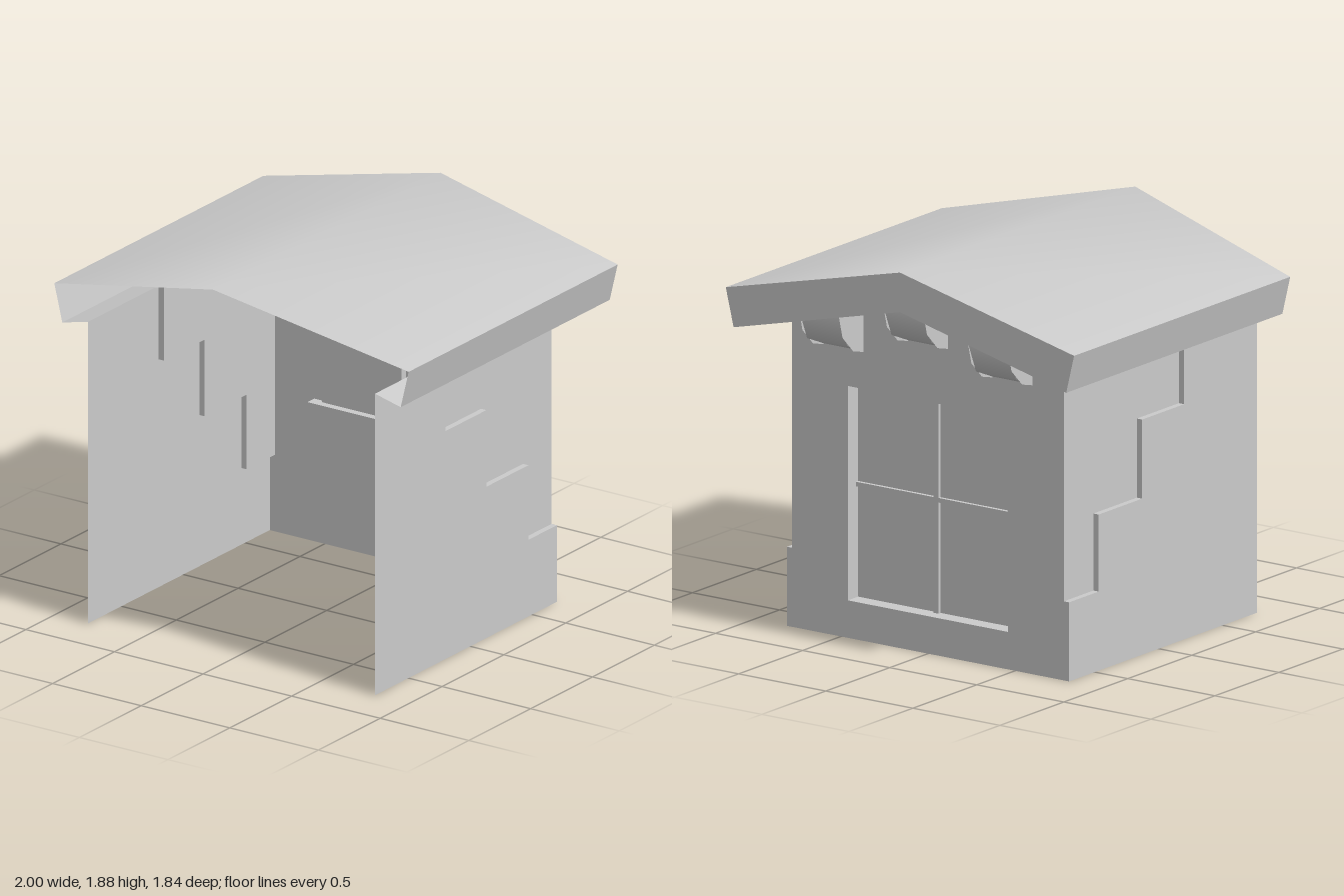
import * as THREE from 'three';

const mat = new THREE.MeshStandardMaterial({ color: 0xcccccc, side: THREE.DoubleSide });
const BACK = -0.70, FRONT = 0.77, ROOF_BACK = -0.92;
const OUT = 0.81, IN = 0.78;                     // half widths: full wall, recessed wall
const soffitY = x => 1.69 - 0.2408 * Math.abs(x);

const add = (parent, name, geo) => {
  const m = new THREE.Mesh(geo, mat);
  m.name = name;
  parent.add(m);
  return m;
};

const shapeOf = pts => new THREE.Shape(pts.map(p => new THREE.Vector2(p[0], p[1])));

// Ribbon of flat quads between two matching rows of 3D points
function ribbon(a, b, smooth = false) {
  const pos = [...a, ...b].flat(), index = [], n = a.length;
  for (let i = 0; i < n - 1; i++) index.push(i, i + 1, n + i + 1, i, n + i + 1, n + i);
  let g = new THREE.BufferGeometry();
  g.setAttribute('position', new THREE.Float32BufferAttribute(pos, 3));
  g.setIndex(index);
  if (!smooth) g = g.toNonIndexed();
  g.computeVertexNormals();
  return g;
}

// Side wall: lower front sheet, recessed upper back sheet and the stepped ledge between
function sideWall(s) {
  const wall = new THREE.Group();
  wall.name = s > 0 ? 'leftWall' : 'rightWall';
  const steps = [[BACK, 0.38], [-0.47, 0.38], [-0.47, 0.75], [-0.13, 0.75], [-0.13, 1.13], [0.20, 1.13], [0.20, soffitY(OUT)]];
  const sheet = (name, pts, x) => {
    const m = add(wall, name, new THREE.ShapeGeometry(shapeOf(pts)));
    m.rotation.y = -Math.PI / 2;
    m.position.x = s * x;
  };
  sheet('outerSheet', [[BACK, 0], ...steps, [FRONT, soffitY(OUT)], [FRONT, 0]], OUT);
  sheet('recessedSheet', [...steps.slice(0, -1), [0.20, soffitY(IN)], [BACK, soffitY(IN)]], IN);
  add(wall, 'steppedLedge', ribbon(steps.map(([z, y]) => [s * OUT, y, z]), steps.map(([z, y]) => [s * IN, y, z])));
  return wall;
}

// Back wall with window opening
function backWall() {
  const half = [[OUT, 0], [OUT, 0.38], [IN, 0.38], [IN, soffitY(IN)]];
  const shape = shapeOf([...half, [0, soffitY(0)], ...half.map(([x, y]) => [-x, y]).reverse()]);
  shape.holes.push(new THREE.Path([[-0.46, 0.18], [-0.46, 1.21], [0.46, 1.21], [0.46, 0.18]].map(p => new THREE.Vector2(...p))));
  return new THREE.ShapeGeometry(shape).translate(0, 0, BACK);
}

// Window: recess, pane and cross bars
function windowUnit() {
  const g = new THREE.Group();
  g.name = 'window';
  const paneZ = -0.62;
  const loop = [[-0.46, 0.18], [0.46, 0.18], [0.46, 1.21], [-0.46, 1.21], [-0.46, 0.18]];
  add(g, 'recess', ribbon(loop.map(p => [...p, BACK]), loop.map(p => [...p, paneZ])));
  add(g, 'pane', new THREE.PlaneGeometry(0.92, 1.03)).position.set(0, 0.695, paneZ);
  add(g, 'uprightBar', new THREE.BoxGeometry(0.028, 1.15, 0.055)).position.set(0, 0.725, -0.61);
  add(g, 'crossBar', new THREE.BoxGeometry(1.03, 0.022, 0.055)).position.set(0, 0.725, -0.61);
  return g;
}

// Corbel: quarter-round beam end below the back overhang
function corbel(x, y) {
  const g = new THREE.Group(), r = 0.225, w = 0.23;
  g.name = 'corbel';
  const curve = new THREE.CylinderGeometry(r, r, w, 2, 1, true, Math.PI, Math.PI / 2);
  add(g, 'curvedFace', curve.rotateZ(Math.PI / 2).rotateX(Math.PI / 2));
  // align the quarter to run from straight down to straight back
  curve.computeBoundingBox();
  const c = curve.boundingBox.getCenter(new THREE.Vector3());
  curve.scale(1, c.y > 0 ? -1 : 1, c.z > 0 ? -1 : 1);
  for (const s of [-1, 1]) {
    const cheek = add(g, 'cheek', new THREE.CircleGeometry(r, 2, Math.PI, Math.PI / 2));
    cheek.rotation.y = -Math.PI / 2;
    cheek.position.x = s * w / 2;
  }
  g.position.set(x, y, -0.67);
  return g;
}

// Hollow gabled roof, open at the front and above the room
function roof() {
  const g = new THREE.Group();
  g.name = 'roof';
  const top = [[-1, 1.645], [0, 1.88], [1, 1.645]];
  const low = [[-0.955, 1.46], [0, 1.69], [0.955, 1.46]];
  const frontZ = [FRONT, 0.92, FRONT];
  add(g, 'roofTop', ribbon(top.map((p, i) => [...p, frontZ[i]]), top.map(p => [...p, ROOF_BACK]), true));
  add(g, 'backFascia', new THREE.ShapeGeometry(shapeOf([...top, ...[...low].reverse()])).translate(0, 0, ROOF_BACK));
  add(g, 'backSoffit', ribbon(low.map(p => [...p, BACK]), low.map(p => [...p, ROOF_BACK])));
  for (const s of [-1, 1]) {
    const row = (x, y, zs) => zs.map(z => [s * x, y, z]);
    add(g, 'eaveFascia', ribbon(row(1, 1.645, [FRONT, ROOF_BACK]), row(0.955, 1.46, [FRONT, ROOF_BACK])));
    for (const [x, z0, z1] of [[OUT, FRONT, 0.20], [IN, 0.20, BACK]])
      add(g, 'sideSoffit', ribbon(row(0.955, 1.46, [z0, z1]), row(x, soffitY(x), [z0, z1])));
  }
  return g;
}

export function createModel() {
  const model = new THREE.Group();
  model.name = 'house';
  model.add(sideWall(1), sideWall(-1), windowUnit(), roof());
  add(model, 'backWall', backWall());
  for (const [x, y] of [[-0.485, 1.605], [0, 1.70], [0.485, 1.605]]) model.add(corbel(x, y));
  return model;
}
